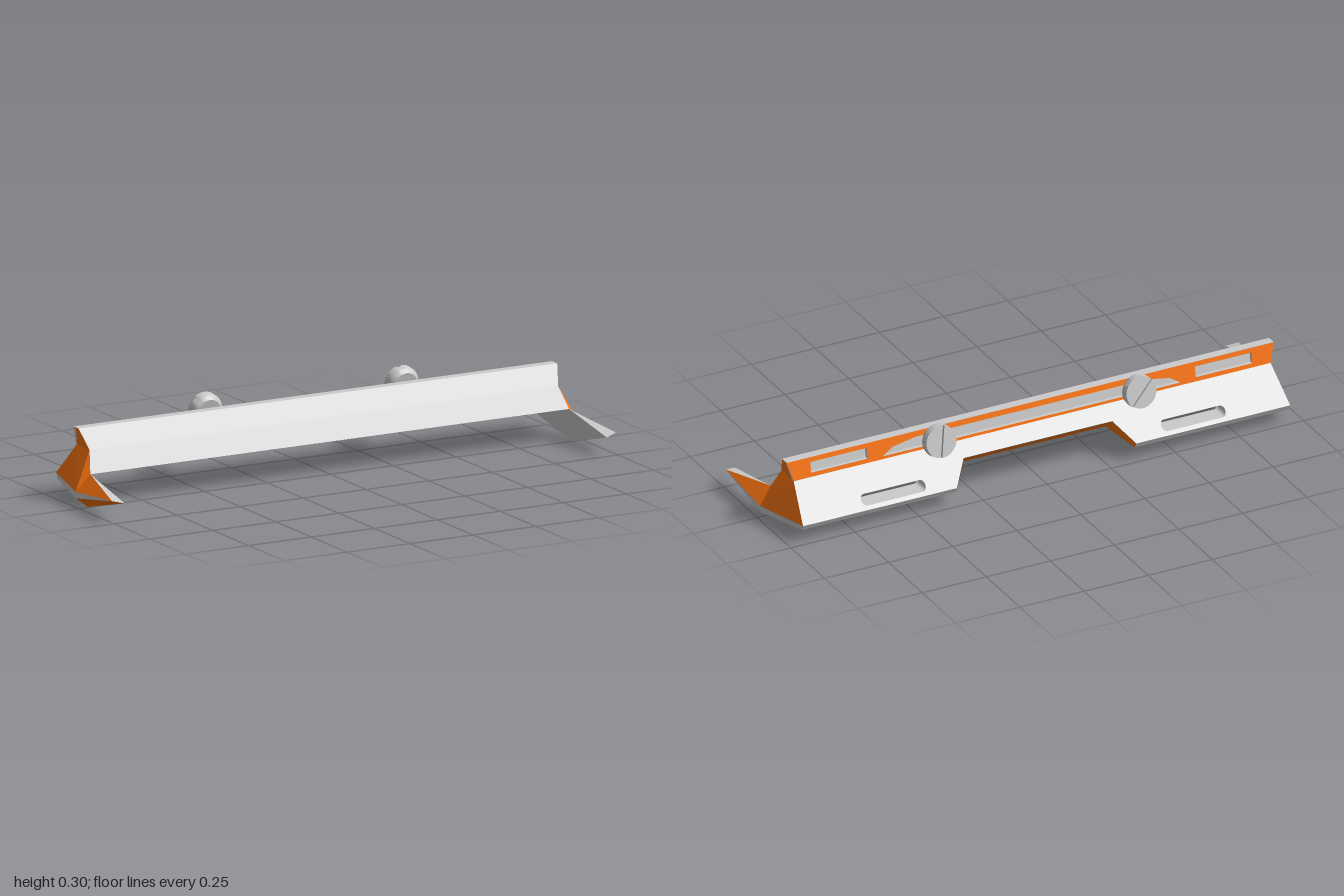
import * as THREE from 'three';
import { toCreasedNormals } from 'three/addons/utils/BufferGeometryUtils.js';

const material = (color) => new THREE.MeshStandardMaterial({ color, side: THREE.DoubleSide });

// Flat polygons, each a convex loop of [x, y, z] corners
function faces(name, mat, polygons, mirror = 1) {
  const pos = [];
  for (const p of polygons) {
    for (let i = 1; i < p.length - 1; i++) {
      const tri = mirror > 0 ? [p[0], p[i], p[i + 1]] : [p[0], p[i + 1], p[i]];
      for (const [x, y, z] of tri) pos.push(x * mirror, y, z);
    }
  }
  const g = new THREE.BufferGeometry();
  g.setAttribute('position', new THREE.Float32BufferAttribute(pos, 3));
  g.computeVertexNormals();
  const m = new THREE.Mesh(g, mat);
  m.name = name;
  return m;
}

// Rounded slot outline
function slot(x0, x1, y0, y1) {
  const r = (y1 - y0) / 2, cy = (y0 + y1) / 2, s = new THREE.Path();
  s.absarc(x1 - r, cy, r, -Math.PI / 2, Math.PI / 2);
  s.absarc(x0 + r, cy, r, Math.PI / 2, Math.PI * 1.5);
  s.closePath();
  return s;
}

// Extrude an x-y outline, then place its back (t = 0) and front (t = 1) caps by a rule
function mappedPlate(name, shape, mats, rule) {
  const g = new THREE.ExtrudeGeometry(shape, { depth: 1, bevelEnabled: false, curveSegments: 8 });
  const p = g.attributes.position;
  for (let i = 0; i < p.count; i++) {
    const [y, z] = rule(p.getY(i), p.getZ(i));
    p.setY(i, y);
    p.setZ(i, z);
  }
  g.computeVertexNormals();
  const m = new THREE.Mesh(g, mats);
  m.name = name;
  return m;
}

const outline = (pts) => new THREE.Shape(pts.map(([x, y]) => new THREE.Vector2(x, y)));

function thumbScrew(grey) {
  const screw = new THREE.Group();
  screw.name = 'thumbScrew';
  const profile = [[0, -0.022], [0.046, -0.022], [0.058, -0.01], [0.06, 0], [0.059, 0.012], [0, 0.012]]
    .map(([r, y]) => new THREE.Vector2(r, y));
  const head = new THREE.Mesh(toCreasedNormals(new THREE.LatheGeometry(profile, 40), 0.6), grey);
  head.name = 'screwHead';
  screw.add(head);
  // Two raised half discs leave the driver groove between them
  const a = 0.13;
  const half = new THREE.Shape();
  half.absarc(0, 0, 0.058, a, Math.PI - a);
  half.closePath();
  const halfGeo = new THREE.ExtrudeGeometry(half, { depth: 0.011, bevelEnabled: false, curveSegments: 20 });
  halfGeo.rotateX(-Math.PI / 2).translate(0, 0.012, 0);
  for (const turn of [0, Math.PI]) {
    const m = new THREE.Mesh(toCreasedNormals(halfGeo, 0.6), grey);
    m.name = 'screwFace';
    m.rotation.y = turn;
    screw.add(m);
  }
  return screw;
}

export function createModel() {
  const model = new THREE.Group();
  model.name = 'slottedBar';
  const grey = material(0xcccccc), orange = material(0xff7711);

  // Sloping front plate, top edge and front part of the underside
  model.add(faces('frontPlate', grey, [
    [[0.93, 0.19, -0.046], [0.95, 0.26, -0.088], [-0.95, 0.26, -0.088], [-0.93, 0.19, -0.046]],
    [[0.93, 0.19, -0.046], [-0.93, 0.19, -0.046], [-0.95, 0.115, -0.005], [0.95, 0.115, -0.005]],
  ]));
  model.add(faces('topEdge', grey, [
    [[0.95, 0.26, -0.088], [0.95, 0.26, -0.123], [-0.95, 0.26, -0.123], [-0.95, 0.26, -0.088]],
  ]));
  model.add(faces('underside', grey, [
    [[0.95, 0.115, -0.005], [-0.95, 0.115, -0.005], [-0.95, 0.12, -0.088], [0.95, 0.12, -0.088]],
  ]));

  // Upper back strip with two short recesses and one long adjustment slot
  const backZ = (y) => -0.123 - 0.2 * (0.26 - y);
  const strip = outline([[0.93, 0.19], [0.95, 0.26], [-0.95, 0.26], [-0.93, 0.19]]);
  const longSlot = new THREE.Path([[-0.58, 0.2], [0.58, 0.2], [0.54, 0.225], [0.45, 0.24], [-0.45, 0.24], [-0.54, 0.225]]
    .map(([x, y]) => new THREE.Vector2(x, y)));
  const pocket = (x0, x1) => new THREE.Path([[x0, 0.205], [x1, 0.205], [x1, 0.243], [x0, 0.243]]
    .map(([x, y]) => new THREE.Vector2(x, y)));
  strip.holes.push(longSlot, pocket(0.64, 0.86), pocket(-0.86, -0.64));
  model.add(mappedPlate('upperBackStrip', strip, [orange, grey], (y, t) => [y, backZ(y) + 0.014 * t]));
  model.add(faces('recessFloor', grey, [
    [[0.9, 0.197, backZ(0.197) + 0.013], [-0.9, 0.197, backZ(0.197) + 0.013],
      [-0.9, 0.25, backZ(0.25) + 0.013], [0.9, 0.25, backZ(0.25) + 0.013]],
  ]));

  // Lower mounting flange, thinning towards its edge, with a centre cutout and two slots
  const flange = outline([[0.95, 0.07], [0.93, 0.19], [-0.93, 0.19], [-0.95, 0.07],
    [-0.35, 0.07], [-0.29, 0.142], [0.29, 0.142], [0.35, 0.07]]);
  flange.holes.push(slot(0.46, 0.71, 0.082, 0.114), slot(-0.71, -0.46, 0.082, 0.114));
  model.add(mappedPlate('mountingFlange', flange, grey, (y, t) => {
    if (t < 0.5) return [y, -0.137 - 0.9 * (0.19 - y)];
    const low = y < 0.08 ? 0.05 : y < 0.12 ? y : y < 0.15 ? 0.1 : 0.12;
    return [low, -0.235 + (low - 0.05) / 0.476];
  }));

  // Coloured walls of the centre cutout, laid just over the flange edge
  const e = 0.001;
  const inner = [[0.29 - e, 0.142 - e, -0.1802 - e], [0.29 - e, 0.1 - e, -0.13 - e]];
  const outer = [[0.35 - e, 0.07, -0.245], [0.35 - e, 0.05, -0.235]];
  const flip = ([x, y, z]) => [-x, y, z];
  model.add(faces('cutoutWall', orange, [
    [inner[0], inner[1], flip(inner[1]), flip(inner[0])],
    [inner[0], outer[0], outer[1], inner[1]],
    [flip(inner[0]), flip(inner[1]), flip(outer[1]), flip(outer[0])],
  ]));

  // End caps with forward-pointing arms, and thumb screws, on both sides
  const P = [0.95, 0.115, -0.005], Q = [0.93, 0.19, -0.046], R = [0.93, 0.19, -0.137];
  const T = [1, 0.077, 0.235], T2 = [0.957, 0.067, 0.248], K = [0.96, 0, -0.005];
  const M1 = [1, 0.055, -0.02], M2 = [1, 0.032, -0.02];
  const B1 = [0.95, 0.07, -0.245], B2 = [0.95, 0.05, -0.235];
  for (const side of [1, -1]) {
    const end = new THREE.Group();
    end.name = side > 0 ? 'leftEnd' : 'rightEnd';
    end.add(faces('endCap', orange, [
      [Q, R, [0.95, 0.26, -0.123], [0.95, 0.26, -0.088]],
      [P, T, M1], [P, M1, Q], [Q, M1, R], [R, M1, B1],
    ], side));
    end.add(faces('armUnderside', orange, [[T, T2, K], [T, K, M2], [M2, K, B2]], side));
    end.add(faces('armRim', grey, [[T, M2, M1], [M1, M2, B2, B1]], side));
    end.add(faces('armInside', grey, [[P, T2, T], [P, K, T2], [P, B2, K]], side));
    model.add(end);

    const screw = thumbScrew(grey);
    screw.position.set(0.39 * side, 0.238, -0.184);
    screw.rotation.set(-1.37, side > 0 ? 1.4 : 0.8, 0, 'XYZ');
    model.add(screw);
  }
  return model;
}
